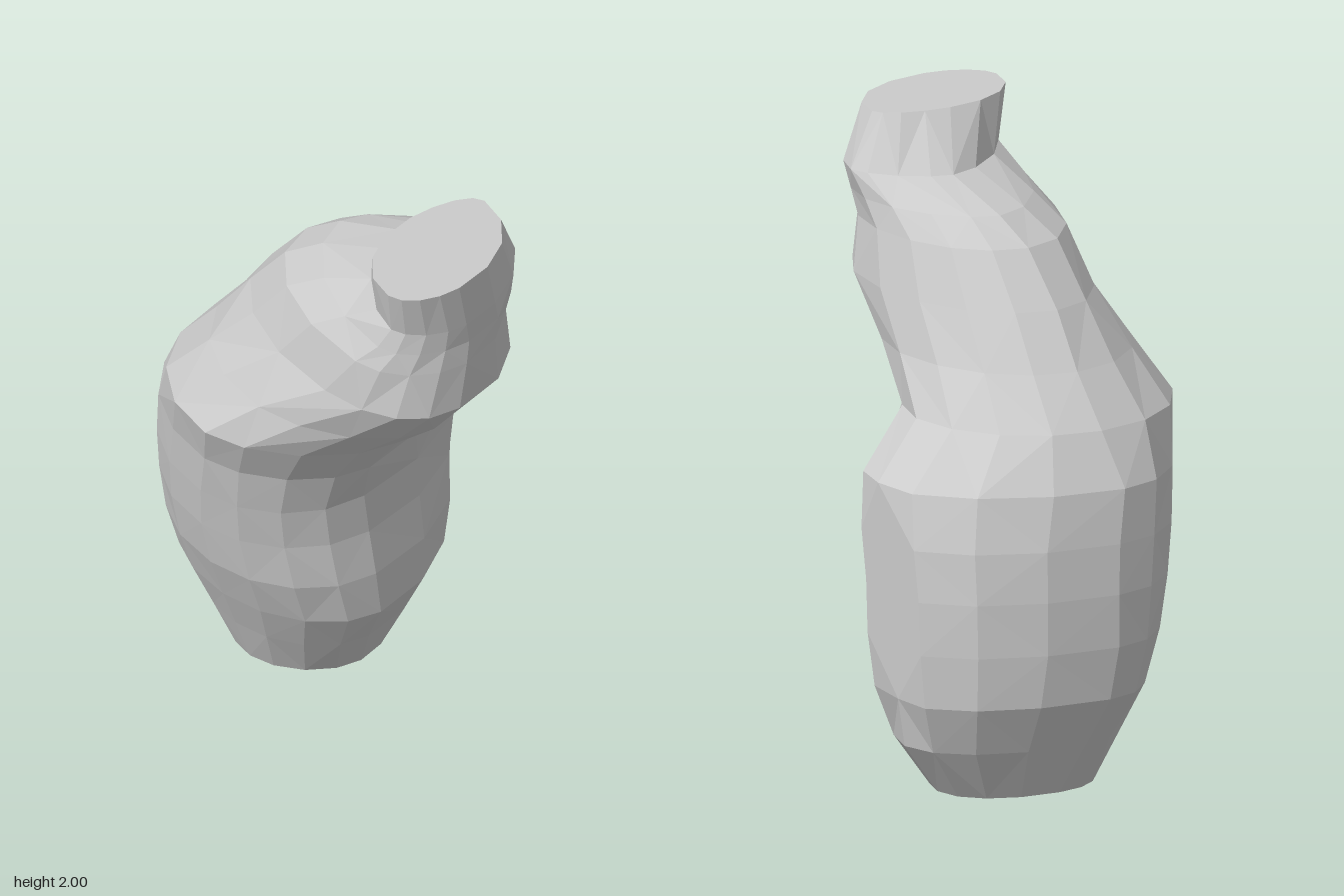
import * as THREE from 'three';

const SIDES = 16;
const BACK = -0.53; // flat facet at the back of the lower half

// Level sections: height, then the four extreme points, then (optional) how
// lean the +x and -x halves are: above 1 is chamfered, below 1 is fuller
// [y, xMin, zAtXMin, xMax, zAtXMax, zMax, xAtZMax, zMin, xAtZMin, leanPlus, leanMinus]
const SECTIONS = [
  [0.00, -0.50, -0.05, -0.05, -0.08, 0.16, -0.30, -0.37, -0.29, 1.1, 0.92],
  [0.17, -0.59, -0.01, 0.04, -0.03, 0.23, -0.29, -0.50, -0.31, 1.05, 0.95],
  [0.33, -0.67, 0.03, 0.13, 0.00, 0.30, -0.27, -0.56, -0.32, 1.05, 0.95],
  [0.50, -0.69, 0.05, 0.14, 0.03, 0.37, -0.25, -0.58, -0.31],
  [0.67, -0.69, 0.05, 0.13, 0.05, 0.41, -0.25, -0.58, -0.29],
  [0.83, -0.68, 0.06, 0.14, 0.08, 0.44, -0.22, -0.58, -0.25],
  [1.00, -0.66, 0.09, 0.21, 0.12, 0.47, -0.17, -0.56, -0.20, 1.15, 1.05],
  [1.17, -0.57, 0.06, 0.34, 0.12, 0.53, -0.10, -0.36, -0.15, 1.2],
  [1.33, -0.44, 0.05, 0.52, 0.13, 0.46, 0.07, -0.31, 0.03, 1.1],
  [1.50, -0.32, 0.05, 0.66, 0.15, 0.40, 0.31, -0.29, 0.18, 0.87],
  [1.67, -0.18, 0.03, 0.67, 0.13, 0.38, 0.43, -0.26, 0.25],
  [1.75, -0.06, 0.00, 0.67, 0.12, 0.35, 0.50, -0.26, 0.32, 1, 1.15],
  [1.83, 0.17, -0.03, 0.68, 0.14, 0.33, 0.54, -0.27, 0.39, 1.1, 1.3],
  [2.00, 0.32, 0.05, 0.69, 0.18, 0.37, 0.57, -0.18, 0.41],
];

// Point on a section: four rounded quarters joining the extreme points
function sectionPoint([y, x0, zx0, x1, zx1, z1, xz1, z0, xz0, leanPlus = 1, leanMinus = 1], j) {
  const t = (j / SIDES) * Math.PI * 2;
  const c = Math.cos(t), s = Math.sin(t);
  const lean = c >= 0 ? leanPlus : leanMinus;
  const xMid = s >= 0 ? xz1 : xz0;
  const zMid = c >= 0 ? zx1 : zx0;
  const x = xMid + ((c >= 0 ? x1 : x0) - xMid) * Math.abs(c) ** lean;
  const z = zMid + ((s >= 0 ? z1 : z0) - zMid) * Math.abs(s) ** lean;
  return [x, y, Math.max(z, BACK)];
}

function loft(sections) {
  const positions = [], index = [];
  for (const sec of sections)
    for (let j = 0; j < SIDES; j++) positions.push(...sectionPoint(sec, j));

  // Side walls, with alternating diagonals
  for (let i = 0; i < sections.length - 1; i++) {
    for (let j = 0; j < SIDES; j++) {
      const k = (j + 1) % SIDES;
      const a = i * SIDES + j, b = i * SIDES + k;
      const c = a + SIDES, d = b + SIDES;
      if ((i + j) % 2) index.push(a, c, b, b, c, d);
      else index.push(a, c, d, a, d, b);
    }
  }

  // Flat end caps
  const top = (sections.length - 1) * SIDES;
  for (let j = 1; j < SIDES - 1; j++) {
    index.push(0, j, j + 1);
    index.push(top, top + j + 1, top + j);
  }

  const geometry = new THREE.BufferGeometry();
  geometry.setAttribute('position', new THREE.Float32BufferAttribute(positions, 3));
  geometry.setIndex(index);
  geometry.computeVertexNormals();
  return geometry;
}

export function createModel() {
  const model = new THREE.Group();
  model.name = 'bentTube';
  const material = new THREE.MeshStandardMaterial({ color: 0xcccccc, flatShading: true });
  const body = new THREE.Mesh(loft(SECTIONS), material);
  body.name = 'tubeBody';
  model.add(body);
  return model;
}
